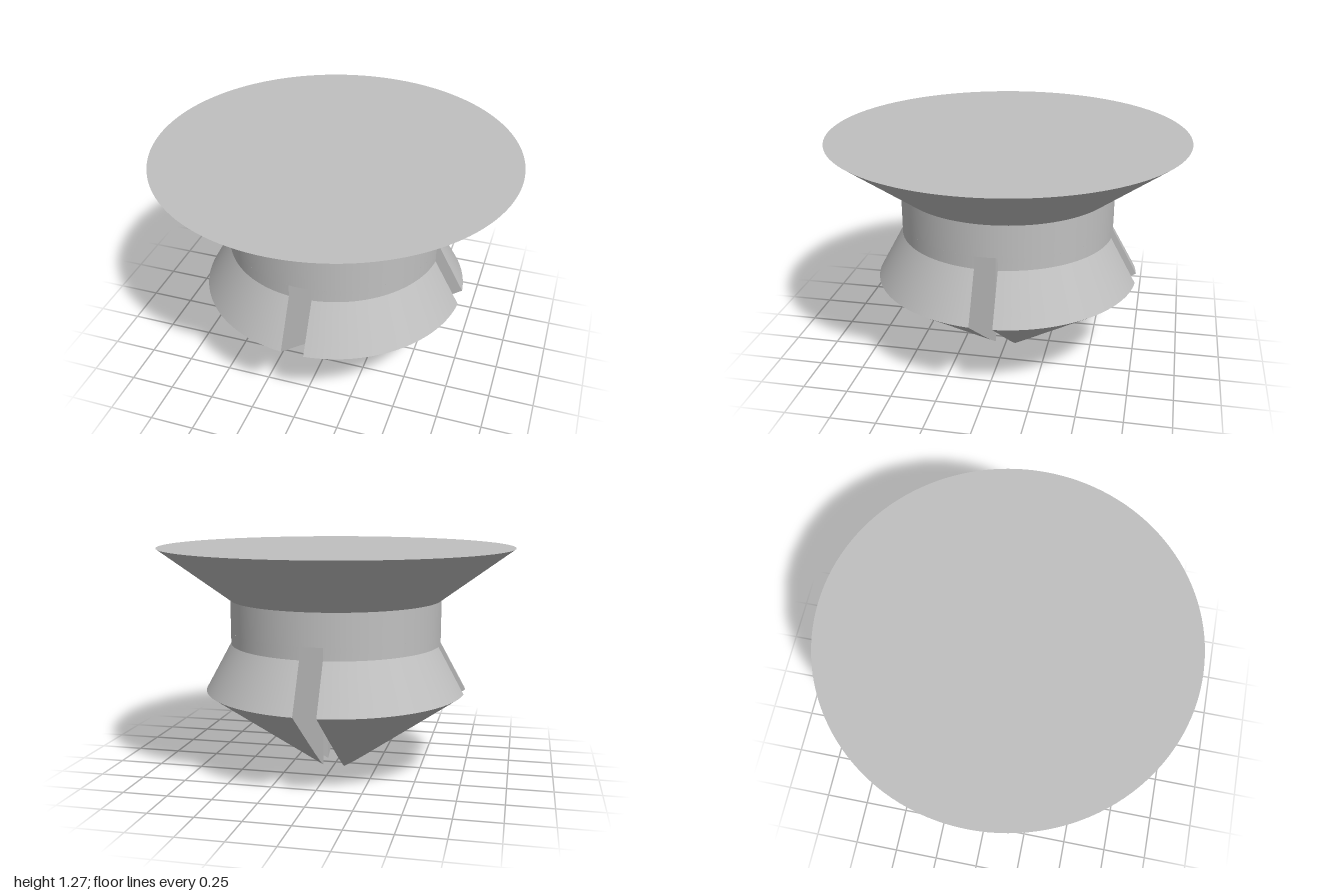
import * as THREE from 'three';

const SLOT = 0.0625;      // half width of the crossed slots
const SLOT_TOP = 0.8;
const NECK = 0.6;         // neck radius

// Grid surface from point(u, v); faces towards dv x du
function gridSurface(cols, rows, point) {
  const pos = [], index = [];
  for (let j = 0; j <= rows; j++)
    for (let i = 0; i <= cols; i++) pos.push(...point(i / cols, j / rows));
  for (let j = 0; j < rows; j++)
    for (let i = 0; i < cols; i++) {
      const a = j * (cols + 1) + i, b = a + cols + 1;
      index.push(a, b, a + 1, b, b + 1, a + 1);
    }
  const geo = new THREE.BufferGeometry();
  geo.setAttribute('position', new THREE.Float32BufferAttribute(pos, 3));
  geo.setIndex(index);
  geo.computeVertexNormals();
  return geo;
}

export function createModel() {
  const grey = new THREE.MeshStandardMaterial({ color: 0xc0c0c0 });
  grey.name = 'grey';
  const model = new THREE.Group();
  model.name = 'slottedPlug';
  const add = (parent, name, geo, y = 0) => {
    const mesh = new THREE.Mesh(geo, grey);
    mesh.name = name;
    mesh.position.y = y;
    parent.add(mesh);
    return mesh;
  };

  // Flared head and the solid part of the neck
  add(model, 'headTop', new THREE.CircleGeometry(1, 128).rotateX(-Math.PI / 2), 1.275);
  add(model, 'headFlare', new THREE.CylinderGeometry(1, NECK, 0.295, 128, 1, true), 1.1275);
  add(model, 'neck', new THREE.CylinderGeometry(NECK, NECK, 0.18, 128, 1, true), 0.89);

  // Cross-shaped ceiling of the slots
  const cross = new THREE.Shape();
  const half = Math.asin(SLOT / NECK);
  for (let k = 0; k < 4; k++) {
    const mid = k * Math.PI / 2, corner = mid + Math.PI / 4;
    for (const a of [-half, -half / 2, 0, half / 2, half]) {
      const x = NECK * Math.cos(mid + a), y = NECK * Math.sin(mid + a);
      if (k === 0 && a === -half) cross.moveTo(x, y);
      else cross.lineTo(x, y);
    }
    cross.lineTo(SLOT * Math.SQRT2 * Math.cos(corner), SLOT * Math.SQRT2 * Math.sin(corner));
  }
  add(model, 'slotCeiling', new THREE.ShapeGeometry(cross).rotateX(Math.PI / 2), SLOT_TOP);

  // Prong profile bands: lower radius, lower y, upper radius, upper y, rows
  const bands = [
    ['prongTip', SLOT * Math.SQRT2, 0, 0.745, 0.465, 24],
    ['prongBarb', 0.745, 0.465, NECK, 0.73, 4],
    ['prongNeck', NECK, 0.73, NECK, SLOT_TOP, 1],
  ];

  // Four prongs, one per quadrant
  for (let k = 0; k < 4; k++) {
    const prong = new THREE.Group();
    prong.name = 'prong' + (k + 1);
    prong.rotation.y = k * Math.PI / 2;
    for (const [name, r0, y0, r1, y1, rows] of bands) {
      const at = (v) => [r0 + (r1 - r0) * v, y0 + (y1 - y0) * v];
      const reach = (r) => Math.sqrt(Math.max(r * r - SLOT * SLOT, 0));

      add(prong, name, gridSurface(32, rows, (u, v) => {
        const [r, y] = at(v);
        const start = Math.asin(SLOT / r);
        const a = start + (Math.PI / 2 - 2 * start) * u;
        return [r * Math.cos(a), y, r * Math.sin(a)];
      }));

      // Flat slot walls
      add(prong, name + 'WallA', gridSurface(1, rows, (u, v) => {
        const [r, y] = at(v);
        return [SLOT + (reach(r) - SLOT) * u, y, SLOT];
      }));
      add(prong, name + 'WallB', gridSurface(1, rows, (u, v) => {
        const [r, y] = at(v);
        return [SLOT, y, SLOT + (reach(r) - SLOT) * (1 - u)];
      }));
    }
    model.add(prong);
  }
  return model;
}
